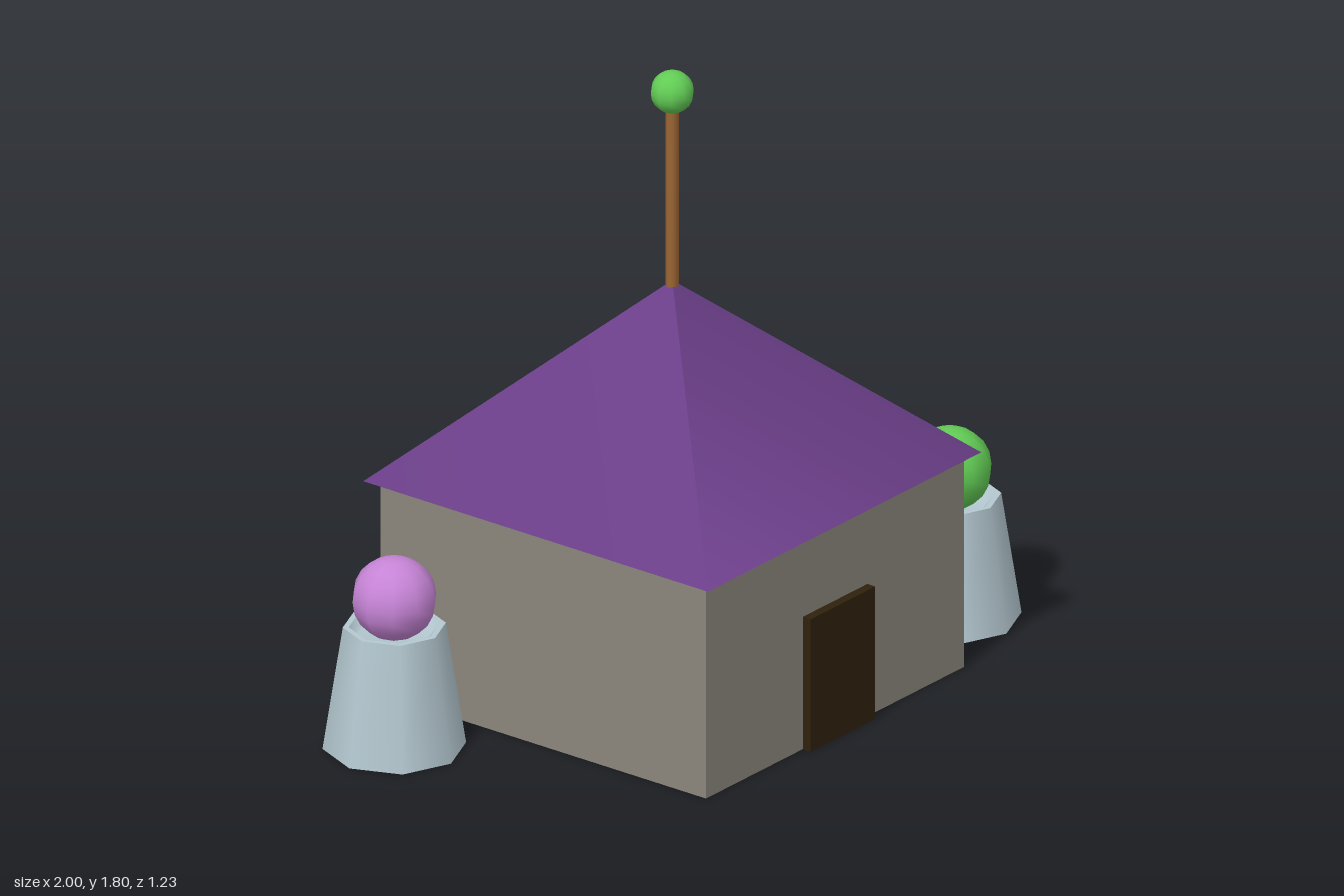
import * as THREE from 'three';

const mat = (name, color) => {
  const m = new THREE.MeshStandardMaterial({ color });
  m.name = name;
  return m;
};

export function createModel() {
  const stone = mat('stone wall', 0x8c867c);
  const purple = mat('purple roof', 0x6c3f8a);
  const darkWood = mat('dark wood', 0x2f210d);
  const wood = mat('wood', 0x9c6634);
  const green = mat('green', 0x62cc55);
  const pink = mat('pink', 0xc684d6);
  const paleBlue = mat('pale blue', 0xb4c8d0);
  const black = mat('black', 0x25252b);
  const teal = mat('teal', 0x3dcba9);

  const model = new THREE.Group();
  model.name = 'house';
  const add = (name, geometry, material, x, y, z, parent = model) => {
    const mesh = new THREE.Mesh(geometry, material);
    mesh.name = name;
    mesh.position.set(x, y, z);
    parent.add(mesh);
    return mesh;
  };
  const midZ = 0.023;

  // House body, door and four-sided roof
  add('walls', new THREE.BoxGeometry(1.12, 0.63, 1.12), stone, 0, 0.315, midZ);
  add('door', new THREE.BoxGeometry(0.28, 0.39, 0.04), darkWood, 0, 0.195, 0.59);
  const roof = new THREE.ConeGeometry(0.593 * Math.SQRT2, 0.55, 4).rotateY(Math.PI / 4);
  add('roof', roof, purple, 0, 0.905, midZ);

  // Roof pole and its ball
  add('pole', new THREE.CylinderGeometry(0.018, 0.018, 0.54, 8), wood, 0, 1.43, midZ);
  add('poleBall', new THREE.SphereGeometry(0.06, 10, 10), green, 0, 1.736, midZ);

  // Planters: tapered octagonal pedestal with a shallow hollow, holding a ball bush
  const planter = (name, x, z, ballMaterial) => {
    const group = new THREE.Group();
    group.name = name;
    group.position.set(x, 0, z);
    model.add(group);
    add('pedestalSide', new THREE.CylinderGeometry(0.14, 0.195, 0.355, 8, 1, true), paleBlue, 0, 0.1775, 0, group);
    add('pedestalBase', new THREE.CircleGeometry(0.195, 8).rotateX(Math.PI / 2), paleBlue, 0, 0, 0, group);
    add('pedestalRim', new THREE.RingGeometry(0.124, 0.14, 8).rotateX(-Math.PI / 2), paleBlue, 0, 0.355, 0, group);
    const hollow = [[0.124, 0.355], [0.1, 0.33], [0, 0.33]].map(([r, y]) => new THREE.Vector2(r, y));
    add('pedestalHollow', new THREE.LatheGeometry(hollow, 8), paleBlue, 0, 0, 0, group);
    add('bush', new THREE.SphereGeometry(0.117, 10, 10), ballMaterial, 0, 0.435, 0, group);
  };
  planter('greenPlanter', 0.804, 0.34, green);
  planter('pinkPlanter', -0.805, -0.295, pink);

  // Water tub with ten sides
  add('tub', new THREE.CylinderGeometry(0.222, 0.178, 0.25, 10), black, 0.768, 0.125, -0.395);
  add('water', new THREE.CylinderGeometry(0.195, 0.195, 0.06, 10), teal, 0.768, 0.235, -0.395);

  return model;
}
